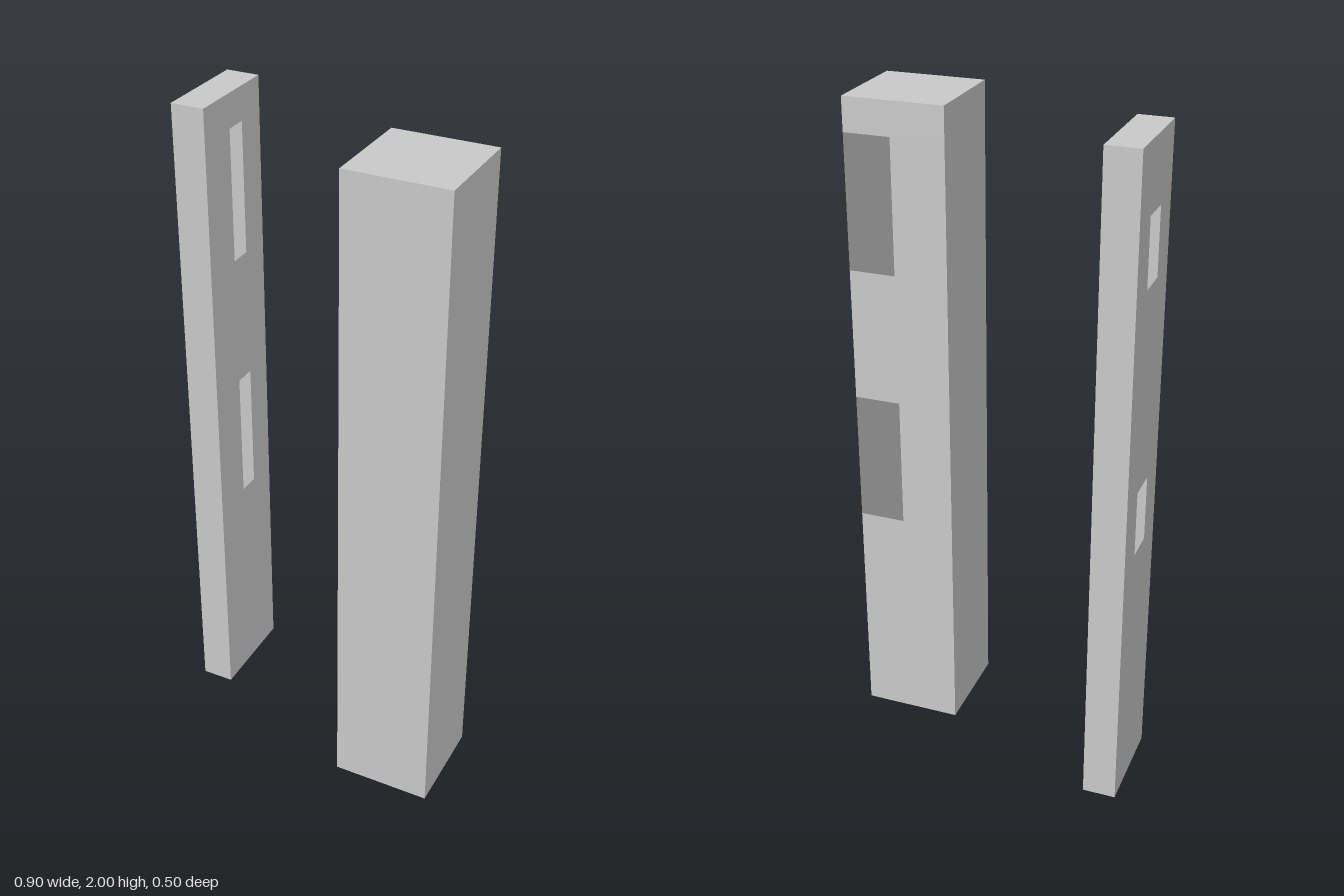
import * as THREE from 'three';

const material = new THREE.MeshStandardMaterial({
  color: 0xcccccc, flatShading: true, side: THREE.DoubleSide,
});
const HEIGHT = 2;

function rectangle(Type, x0, x1, y0, y1) {
  return new Type([[x0, y0], [x1, y0], [x1, y1], [x0, y1]].map(([x, y]) => new THREE.Vector2(x, y)));
}

// Thin upright sheet centred on x, from y0 to y1, with centred slots [width, bottom, top]
function sheet(name, width, y0, y1, slots = []) {
  const shape = rectangle(THREE.Shape, -width / 2, width / 2, y0, y1);
  for (const [w, bottom, top] of slots) {
    shape.holes.push(rectangle(THREE.Path, -w / 2, w / 2, bottom, top));
  }
  const mesh = new THREE.Mesh(new THREE.ShapeGeometry(shape), material);
  mesh.name = name;
  return mesh;
}

// Hollow post of thin sheets; backSpans lists the height ranges covered at the back
function hollowPost(name, width, depth, { backSpans = [[0, HEIGHT]], leftSlots, rightSlots }) {
  const post = new THREE.Group();
  post.name = name;

  const front = sheet('frontPanel', width, 0, HEIGHT);
  front.position.z = depth / 2;
  post.add(front);

  for (const [y0, y1] of backSpans) {
    const back = sheet('backPanel', width, y0, y1);
    back.rotation.y = Math.PI;
    back.position.z = -depth / 2;
    post.add(back);
  }

  for (const [side, label, slots] of [[1, 'leftPanel', leftSlots], [-1, 'rightPanel', rightSlots]]) {
    const panel = sheet(label, depth, 0, HEIGHT, slots);
    panel.rotation.y = side * Math.PI / 2;
    panel.position.x = side * width / 2;
    post.add(panel);
  }

  // End caps
  for (const [label, y, tilt] of [['topCap', HEIGHT, -1], ['bottomCap', 0, 1]]) {
    const cap = new THREE.Mesh(new THREE.PlaneGeometry(width, depth), material);
    cap.name = label;
    cap.rotation.x = tilt * Math.PI / 2;
    cap.position.y = y;
    post.add(cap);
  }
  return post;
}

export function createModel() {
  const model = new THREE.Group();
  model.name = 'slottedPosts';

  // Square post with two full-width openings at the back
  const squarePost = hollowPost('squarePost', 0.3, 0.3, {
    backSpans: [[0, 0.7], [1.1, 1.5], [1.9, HEIGHT]],
  });
  squarePost.position.set(0.3, 0, 0.1);

  // Slim post with tall slots on its inner side and short ones on its outer side
  const slimPost = hollowPost('slimPost', 0.1, 0.3, {
    leftSlots: [[0.1, 0.7, 1.1], [0.1, 1.5, 1.9]],
    rightSlots: [[0.1, 0.8, 1.0], [0.1, 1.6, 1.8]],
  });
  slimPost.position.set(-0.4, 0, -0.1);

  model.add(squarePost, slimPost);
  return model;
}
